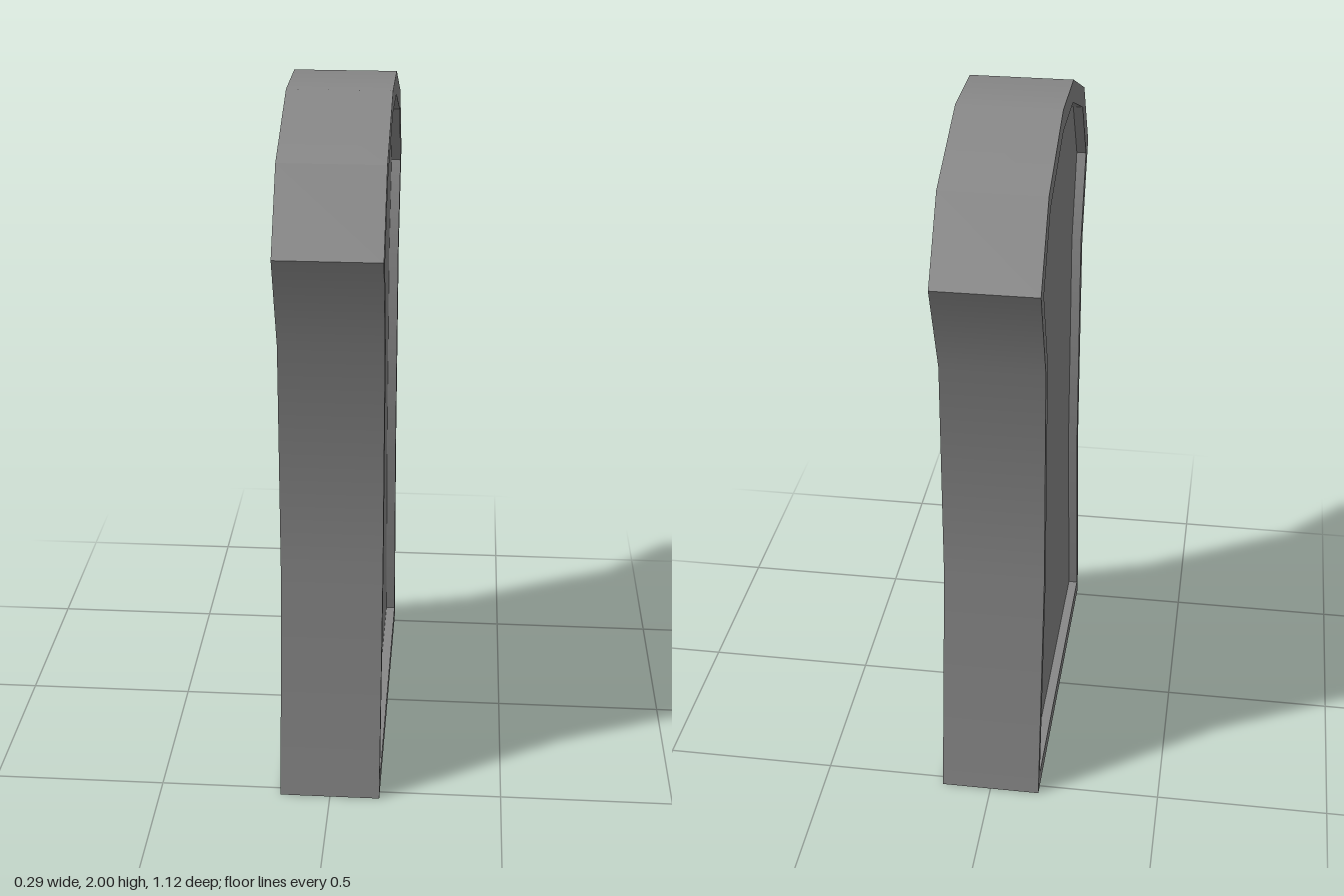
import * as THREE from 'three';

const HALF = 0.145;    // half thickness
const RECESS = 0.028;  // depth of the sunken faces
const CREASE = 0.55;   // edges bent more than this stay sharp

// Half profiles as [z, y], from the foot to the crown
const OUTER = [[0.533, 0], [0.435, 0.7], [0.445, 1.38], [0.56, 1.66], [0.415, 1.876], [0.12, 2]];
const INNER = [[0.5, 0.05], [0.405, 0.69], [0.405, 1.39], [0.503, 1.638], [0.38, 1.828], [0.113, 1.937]];

const mirrored = half => [...half, ...half.map(([z, y]) => [-z, y]).reverse()];

// Closed outlines joined one after another along x, smooth across shallow bends
function loft(sections) {
  const positions = [], normals = [];
  const n = sections[0].outline.length;
  const corner = (s, i) => {
    const [z, y] = sections[s].outline[i % n];
    return new THREE.Vector3(sections[s].x, y, z);
  };
  const faceNormal = (s, i) => {
    const a = corner(s, i);
    const across = corner(s + 1, i).sub(a), along = corner(s, i + 1).sub(a);
    return across.cross(along).normalize();
  };
  const blend = (own, next) =>
    own.angleTo(next) < CREASE ? own.clone().add(next).normalize() : own;

  for (let s = 0; s < sections.length - 1; s++) {
    for (let i = 0; i < n; i++) {
      const own = faceNormal(s, i);
      const start = blend(own, faceNormal(s, (i + n - 1) % n));
      const end = blend(own, faceNormal(s, (i + 1) % n));
      const a = corner(s, i), b = corner(s + 1, i);
      const c = corner(s + 1, i + 1), d = corner(s, i + 1);
      for (const p of [a, b, d, b, c, d]) positions.push(...p);
      for (const v of [start, start, end, start, end, end]) normals.push(...v);
    }
  }
  const geometry = new THREE.BufferGeometry();
  geometry.setAttribute('position', new THREE.Float32BufferAttribute(positions, 3));
  geometry.setAttribute('normal', new THREE.Float32BufferAttribute(normals, 3));
  return geometry;
}

export function createModel() {
  const group = new THREE.Group();
  group.name = 'slab';
  const material = new THREE.MeshStandardMaterial({ color: 0x888888 });
  const outer = mirrored(OUTER), inner = mirrored(INNER);

  // Outer wall, raised rims and recess walls
  const frame = new THREE.Mesh(loft([
    { x: -HALF + RECESS, outline: inner },
    { x: -HALF, outline: inner },
    { x: -HALF, outline: outer },
    { x: HALF, outline: outer },
    { x: HALF, outline: inner },
    { x: HALF - RECESS, outline: inner },
  ]), material);
  frame.name = 'frame';
  group.add(frame);

  // Sunken face on each broad side
  const shape = new THREE.Shape(inner.map(([z, y]) => new THREE.Vector2(z, y)));
  for (const side of [-1, 1]) {
    const panel = new THREE.Mesh(new THREE.ShapeGeometry(shape), material);
    panel.name = side > 0 ? 'leftPanel' : 'rightPanel';
    panel.rotation.y = side * Math.PI / 2;
    panel.position.x = side * (HALF - RECESS);
    group.add(panel);
  }
  return group;
}
